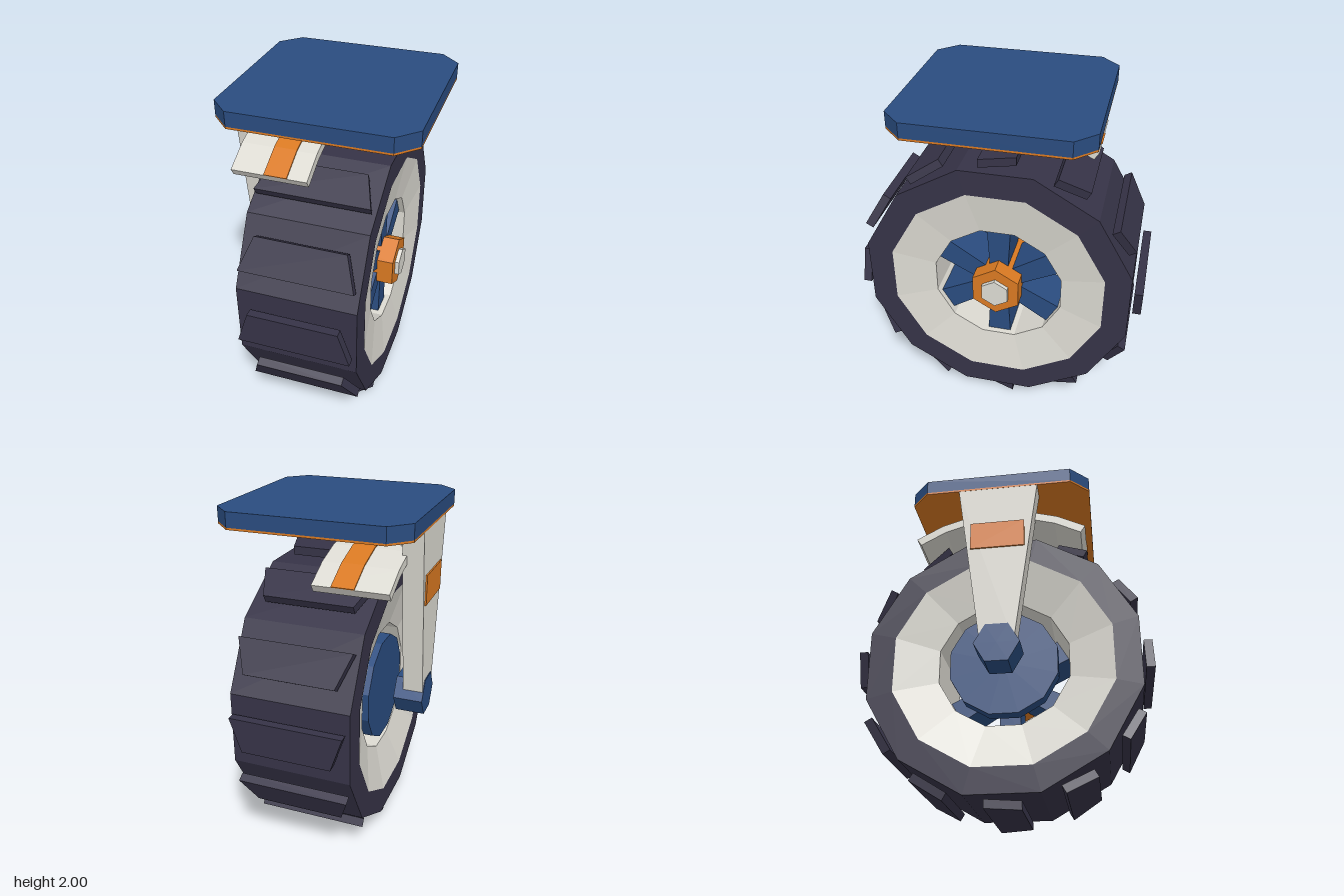
import * as THREE from 'three';

const AXLE_Y = 0.858;

function material(name, color) {
  const m = new THREE.MeshStandardMaterial({ color, flatShading: true });
  m.name = name;
  return m;
}

export function createModel() {
  const blue = material('blue paint', 0x2a4c7f);
  const orange = material('orange paint', 0xd97922);
  const grey = material('pale grey metal', 0xdcdad2);
  const rubber = material('dark rubber', 0x363347);

  const model = new THREE.Group();
  model.name = 'casterWheel';

  function add(parent, name, geometry, mat) {
    const mesh = new THREE.Mesh(geometry, mat);
    mesh.name = name;
    parent.add(mesh);
    return mesh;
  }

  function box(x0, x1, y0, y1, z0, z1) {
    return new THREE.BoxGeometry(x1 - x0, y1 - y0, z1 - z0)
      .translate((x0 + x1) / 2, (y0 + y1) / 2, (z0 + z1) / 2);
  }

  // Flat outline extruded along its normal
  function slab(points, depth) {
    const shape = new THREE.Shape(points.map(([a, b]) => new THREE.Vector2(a, b)));
    return new THREE.ExtrudeGeometry(shape, { depth, bevelEnabled: false });
  }

  // Outline in the side plane (z, y), extruded from x0 to x1
  const sideSlab = (points, x0, x1) => slab(points, x1 - x0).rotateY(Math.PI / 2).translate(x0, 0, 0);

  // Regular prism lying along x
  const prism = (r, x0, x1, sides, turn = 0) =>
    new THREE.CylinderGeometry(r, r, x1 - x0, sides, 1, false, turn)
      .rotateZ(-Math.PI / 2).translate((x0 + x1) / 2, 0, 0);

  // Twelve-sided turned part around x, from (radius, x) points
  const turned = (points) =>
    new THREE.LatheGeometry(points.map(([r, x]) => new THREE.Vector2(r, x)), 12, Math.PI / 12)
      .rotateZ(-Math.PI / 2);

  // Wheel
  const wheel = new THREE.Group();
  wheel.name = 'wheel';
  wheel.position.set(0.003, AXLE_Y, 0);
  model.add(wheel);

  add(wheel, 'tyre', turned([[0.66, -0.346], [0.816, -0.346], [0.816, 0.346], [0.66, 0.346]]), rubber);
  add(wheel, 'rim', turned([[0.66, 0.346], [0.395, 0.305], [0.395, -0.27], [0.66, -0.346]]), grey);

  // Tapered tread lugs
  const lugGeometry = slab([[-0.327, -0.1], [0.327, -0.1], [0.26, 0.1], [-0.26, 0.1]], 0.05)
    .rotateX(-Math.PI / 2).translate(0, 0.808, 0);
  for (let i = 0; i < 12; i++) {
    add(wheel, 'treadLug', lugGeometry, rubber).rotation.x = i * Math.PI / 6;
  }

  // Hub disc, tapered spokes and hexagonal hub
  add(wheel, 'hubDisc', prism(0.326, -0.285, -0.2, 12, Math.PI / 12), blue);
  const spokeGeometry = sideSlab([[-0.055, 0.1], [0.055, 0.1], [0.07, 0.38], [-0.07, 0.38]], 0, 0.27);
  for (let i = 0; i < 6; i++) {
    add(wheel, 'spoke', spokeGeometry, blue).rotation.x = i * Math.PI / 3;
  }
  add(wheel, 'hub', prism(0.16, -0.2, 0.367, 6, Math.PI / 6), orange);
  add(wheel, 'axleCap', prism(0.09, 0.367, 0.392, 6, Math.PI / 6), grey);

  // Mounting plate with clipped corners
  const e = 0.55, c = 0.44;
  const octagon = [[e, -c], [e, c], [c, e], [-c, e], [-e, c], [-e, -c], [-c, -e], [c, -e]];
  const plate = (y0, y1) => slab(octagon, y1 - y0).rotateX(-Math.PI / 2).translate(0.004, y0, 0);
  add(model, 'mountingPlate', plate(1.915, 2), blue);
  add(model, 'plateUnderside', plate(1.903, 1.915), orange);

  // Single-sided fork leg
  add(model, 'forkLeg', sideSlab(
    [[-0.095, 0.86], [0.095, 0.86], [0.24, 1.903], [-0.24, 1.903]], -0.545, -0.425), grey);
  add(model, 'forkGusset', box(-0.44, -0.385, 1.78, 1.903, -0.11, 0.11), grey);
  add(model, 'forkBadge', box(-0.554, -0.545, 1.475, 1.65, -0.16, 0.16), orange);
  add(model, 'forkKnob', prism(0.13, -0.55, -0.375, 6).translate(0, AXLE_Y, 0), blue);

  // Curved mudguard
  function arc(inner, outer) {
    const points = [];
    for (let i = -3; i <= 3; i++) {
      const a = i * 0.193;
      points.push([outer * Math.sin(a), AXLE_Y + outer * Math.cos(a)]);
    }
    for (let i = 3; i >= -3; i--) {
      const a = i * 0.193;
      points.push([inner * Math.sin(a), AXLE_Y + inner * Math.cos(a)]);
    }
    return points;
  }
  add(model, 'mudguard', sideSlab(arc(0.887, 0.938), -0.45, -0.018), grey);
  add(model, 'mudguardStripe', sideSlab(arc(0.938, 0.945), -0.26, -0.13), orange);

  return model;
}
